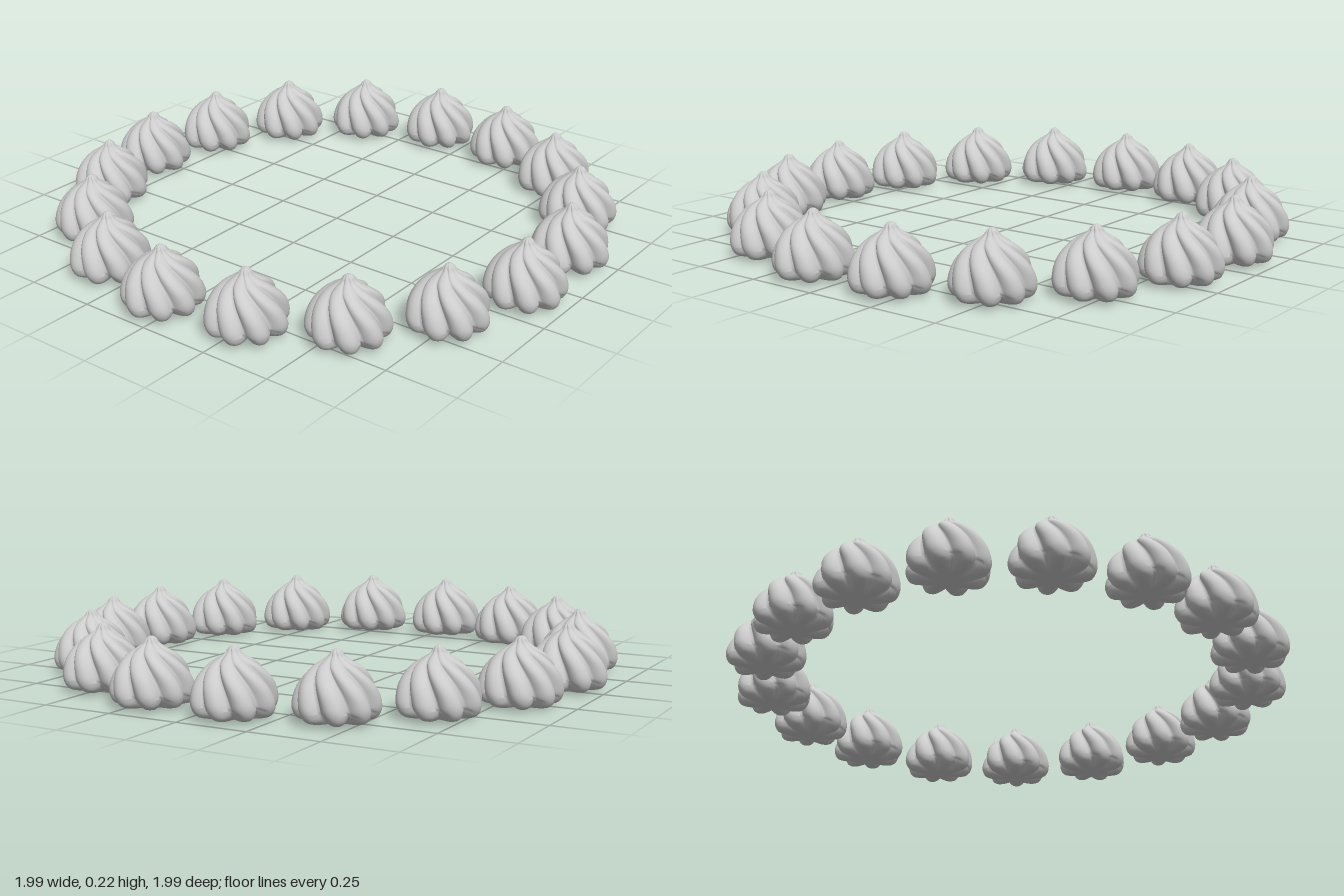
import * as THREE from 'three';
import { mergeVertices } from 'three/addons/utils/BufferGeometryUtils.js';

const COUNT = 17, RING_RADIUS = 0.863, LOBES = 8;

// One piped dollop: a domed profile whose rim is pushed into twisted flutes
function dollopGeometry() {
  const profile = new THREE.CatmullRomCurve3([
    [0, 0], [0.05, 0.002], [0.095, 0.005], [0.124, 0.016], [0.137, 0.045],
    [0.134, 0.078], [0.122, 0.112], [0.101, 0.143], [0.073, 0.17],
    [0.045, 0.188], [0.026, 0.202], [0.018, 0.214], [0.009, 0.222], [0, 0.224],
  ].map(([r, y]) => new THREE.Vector3(r, y, 0)));
  const points = profile.getPoints(40).map((p) => new THREE.Vector2(Math.max(p.x, 0), p.y));
  let geometry = new THREE.LatheGeometry(points, 96);

  const pos = geometry.attributes.position;
  for (let i = 0; i < pos.count; i++) {
    const x = pos.getX(i), y = pos.getY(i), z = pos.getZ(i);
    const r = Math.hypot(x, z);
    const angle = Math.atan2(x, z);
    // Flutes: round ridges meeting in narrow grooves
    const ridge = Math.abs(Math.cos(angle * LOBES / 2));
    const groove = Math.pow(1 - ridge, 1.2);
    const depth = 0.23 * THREE.MathUtils.smoothstep(r, 0, 0.09);
    const scale = 1 - Math.max(depth, y > 0.1 ? 0.16 : 0) * groove;
    // The swirl tightens towards the tip
    const t = y / 0.224;
    const turned = angle - 0.35 * t - 1.1 * t * t * t;
    const lift = y < 0.04 ? 0.02 * groove * THREE.MathUtils.smoothstep(r, 0.05, 0.13) : 0;
    pos.setXYZ(i, Math.sin(turned) * r * scale, y + lift, Math.cos(turned) * r * scale);
  }
  // Weld the seam and poles so the shading stays smooth
  geometry.deleteAttribute('uv');
  geometry.deleteAttribute('normal');
  geometry = mergeVertices(geometry, 1e-5);
  geometry.computeVertexNormals();
  return geometry;
}

export function createModel() {
  const model = new THREE.Group();
  model.name = 'dollopRing';
  const material = new THREE.MeshStandardMaterial({ color: 0xcccccc, roughness: 0.8 });
  const geometry = dollopGeometry();

  // Dollops spaced evenly round a circle, each turned with the ring
  for (let i = 0; i < COUNT; i++) {
    const a = THREE.MathUtils.degToRad(-7.8) + (i / COUNT) * Math.PI * 2;
    const dollop = new THREE.Mesh(geometry, material);
    dollop.name = `dollop${i + 1}`;
    dollop.position.set(Math.cos(a) * RING_RADIUS, 0, Math.sin(a) * RING_RADIUS);
    dollop.rotation.y = -a;
    model.add(dollop);
  }
  return model;
}
